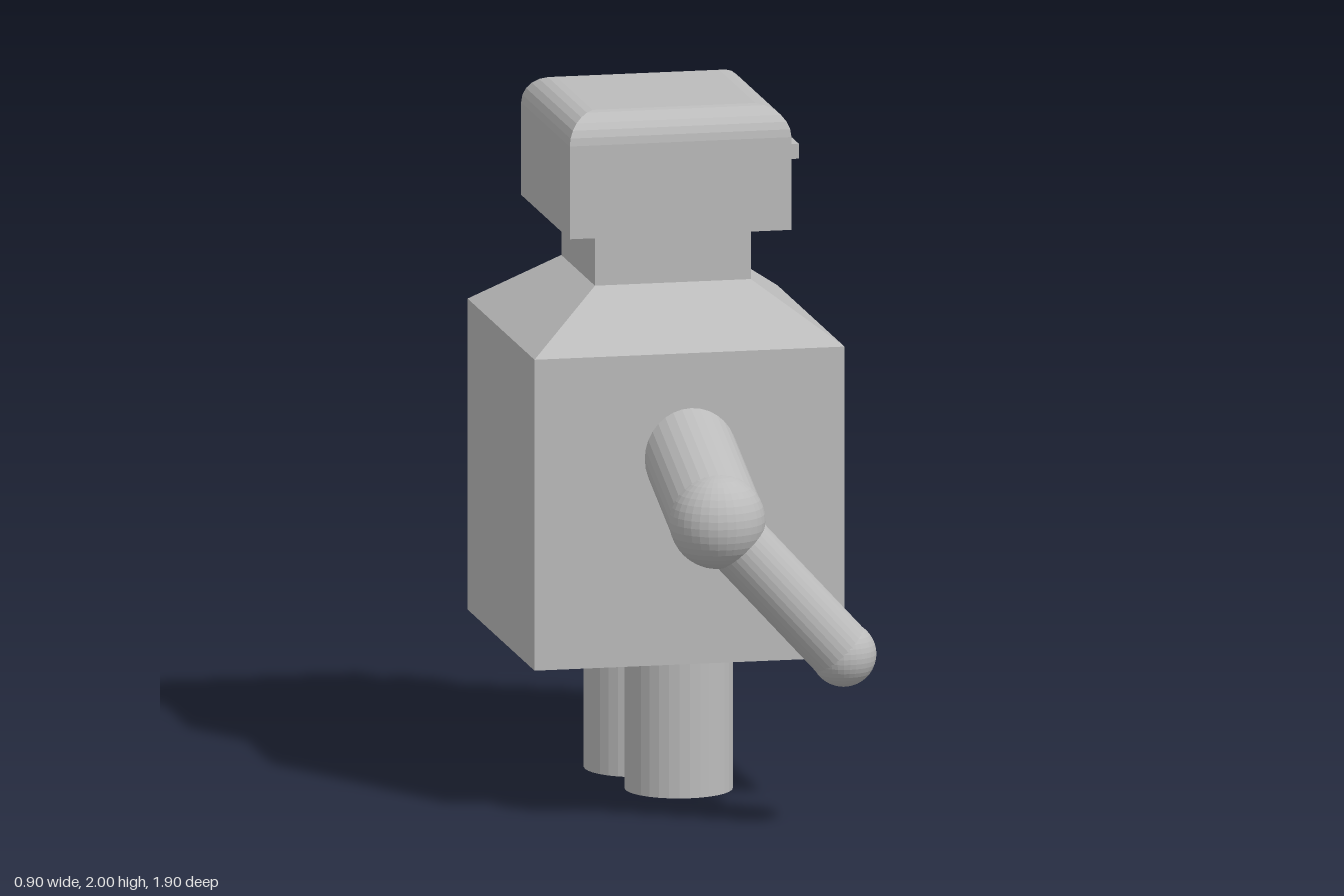
import * as THREE from 'three';

export function createModel() {
  const model = new THREE.Group();
  const grey = new THREE.MeshStandardMaterial({ color: 0xbcbcbc, flatShading: true });
  grey.name = 'grey';

  const add = (name, geometry, parent = model) => {
    const mesh = new THREE.Mesh(geometry, grey);
    mesh.name = name;
    parent.add(mesh);
    return mesh;
  };

  // Box given by its limits on each axis
  const box = (name, [x0, x1], [y0, y1], [z0, z1]) => {
    const g = new THREE.BoxGeometry(x1 - x0, y1 - y0, z1 - z0);
    add(name, g).position.set((x0 + x1) / 2, (y0 + y1) / 2, (z0 + z1) / 2);
  };

  // Square-section solid from [half width, y] pairs, bottom to top
  const squareLoft = (name, profile, x, z) => {
    const points = profile.map(([h, y]) => new THREE.Vector2(h * Math.SQRT2, y));
    const mesh = add(name, new THREE.LatheGeometry(points, 4, Math.PI / 4));
    mesh.position.set(x, 0, z);
    return mesh;
  };

  // Cylinder between two points
  const rod = (name, a, b, radius, parent) => {
    const dir = b.clone().sub(a);
    const mesh = add(name, new THREE.CylinderGeometry(radius, radius, dir.length(), 32), parent);
    mesh.position.copy(a).lerp(b, 0.5);
    mesh.quaternion.setFromUnitVectors(new THREE.Vector3(0, 1, 0), dir.normalize());
  };

  const ball = (name, p, radius, parent) => {
    add(name, new THREE.SphereGeometry(radius, 32, 20), parent).position.copy(p);
  };

  // Torso: solid block with a frame around the recessed chest panel
  const panelX = 0.31;
  box('torso', [-0.455, panelX], [0.435, 1.33], [-0.4325, 0.4625]);
  const rect = (Type, u0, u1, y0, y1) => new Type([
    new THREE.Vector2(u0, y0), new THREE.Vector2(u1, y0),
    new THREE.Vector2(u1, y1), new THREE.Vector2(u0, y1),
  ]);
  const frame = rect(THREE.Shape, -0.4625, 0.4325, 0.435, 1.33);
  frame.holes.push(rect(THREE.Path, -0.38, 0.345, 0.52, 1.24));
  const frameGeometry = new THREE.ExtrudeGeometry(frame, { depth: 0.13, bevelEnabled: false });
  frameGeometry.rotateY(Math.PI / 2);
  add('chestFrame', frameGeometry).position.x = panelX;

  // Raised blocks inside the recess
  for (const z of [0.26, 0.02, -0.22]) {
    box('chestBlock', [panelX - 0.01, panelX + 0.062], [0.935, 1.193], [z - 0.071, z + 0.071]);
  }

  // Sloped shoulders and neck
  squareLoft('shoulders', [[0.4475, 1.33], [0.225, 1.49]], -0.0075, 0.015);
  box('neck', [-0.2325, 0.2175], [1.48, 1.66], [-0.21, 0.24]);

  // Head with rounded upper edges
  const headHalf = 0.32, round = 0.085;
  const headProfile = [[0, 1.648], [headHalf, 1.648]];
  for (let i = 0; i <= 6; i++) {
    const a = (i / 6) * Math.PI / 2;
    headProfile.push([headHalf - round * (1 - Math.cos(a)), 2 - round * (1 - Math.sin(a))]);
  }
  headProfile.push([0, 2]);
  squareLoft('head', headProfile, -0.0075, 0.019).scale.z = 1.015;

  // Eyes
  for (const z of [0.172, -0.132]) {
    box('eye', [0.3, 0.361], [1.826, 1.869], [z - 0.045, z + 0.045]);
  }

  // Arms: upper arm, elbow, forearm bent forward, rounded hand
  for (const side of [1, -1]) {
    const arm = new THREE.Group();
    arm.name = side > 0 ? 'armPositiveZ' : 'armNegativeZ';
    model.add(arm);
    const shift = side > 0 ? 0 : 0.008;
    const at = (x, y, z) => new THREE.Vector3(x, y, side * z + shift);
    const elbow = at(-0.004, 0.917, 0.817);
    const hand = at(0.357, 0.522, 0.833);
    rod('upperArm', at(-0.002, 1.08, 0.31), elbow, 0.134, arm);
    ball('elbow', elbow, 0.136, arm);
    rod('forearm', elbow, hand, 0.091, arm);
    ball('hand', hand, 0.093, arm);
  }

  // Legs, one slightly shorter
  for (const [z, bottom] of [[0.297, 0.046], [-0.248, 0]]) {
    rod('leg', new THREE.Vector3(-0.003, bottom, z), new THREE.Vector3(-0.003, 0.45, z), 0.153);
  }

  return model;
}
